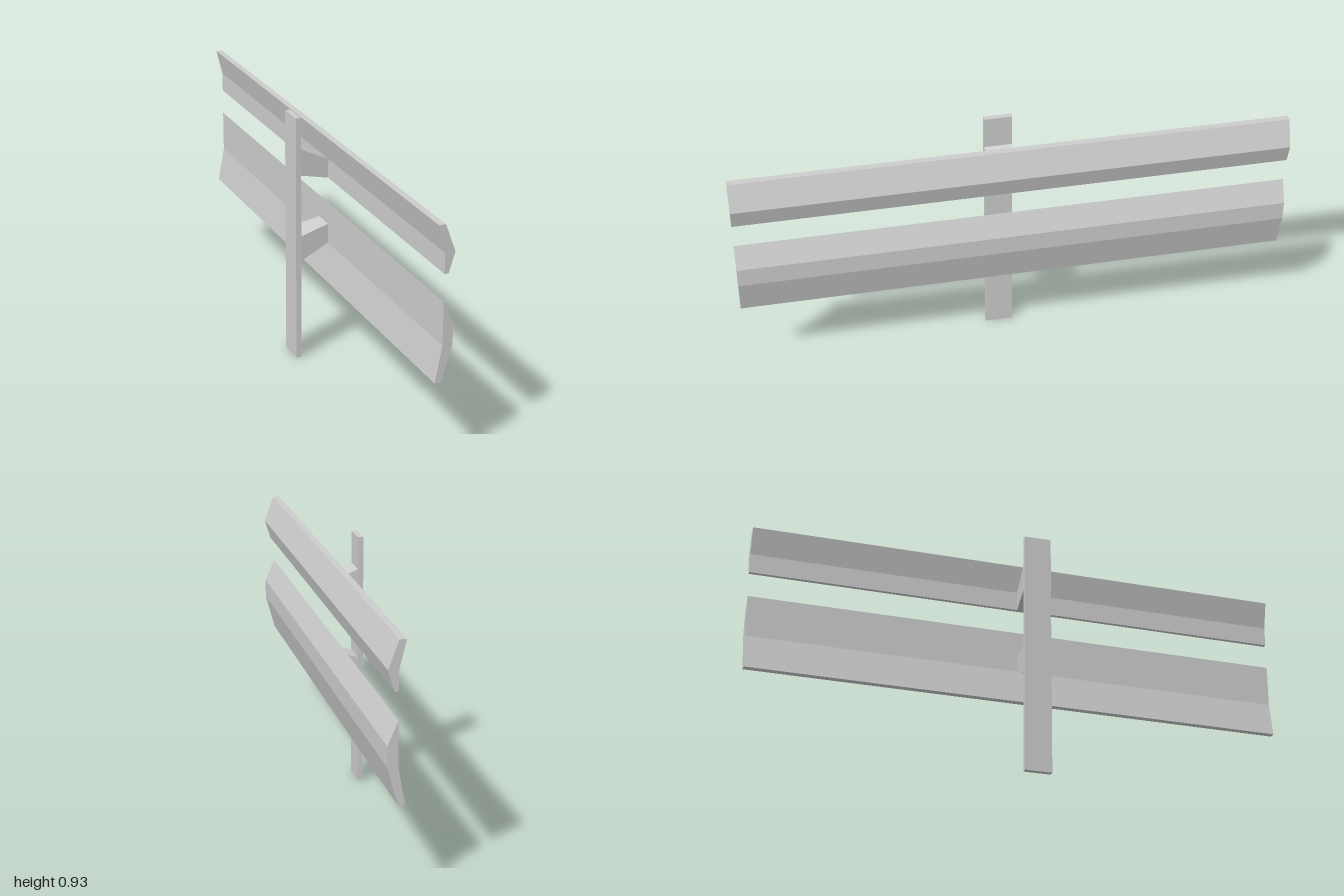
import * as THREE from 'three';

const LENGTH = 2;
const POST_Z = 0.038;
const POST_FACE = -0.062;
const RAIL_BACK = 0.046;

export function createModel() {
  const model = new THREE.Group();
  model.name = 'guardRail';
  const steel = new THREE.MeshStandardMaterial({ color: 0xcccccc });
  steel.name = 'grey steel';

  const add = (name, geometry) => {
    const mesh = new THREE.Mesh(geometry, steel);
    mesh.name = name;
    model.add(mesh);
    return mesh;
  };

  // Upright post
  add('post', new THREE.BoxGeometry(0.02, 0.925, 0.1)).position.set(-0.072, 0.4625, POST_Z);

  // Folded rails, extruded along z
  const rail = (name, points) => {
    const shape = new THREE.Shape(points.map(([x, y]) => new THREE.Vector2(x, y)));
    const geometry = new THREE.ExtrudeGeometry(shape, { depth: LENGTH, bevelEnabled: false });
    geometry.translate(0, 0, -LENGTH / 2);
    add(name, geometry);
  };
  rail('upperRail', [
    [0.022, 0.852], [RAIL_BACK, 0.755], [RAIL_BACK, 0.683],
    [0.06, 0.683], [0.082, 0.755], [0.046, 0.852],
  ]);
  rail('lowerRail', [
    [RAIL_BACK, 0.588], [RAIL_BACK, 0.433], [0.022, 0.303],
    [0.046, 0.303], [0.082, 0.435], [0.082, 0.505],
  ]);

  // Brackets: boxes tapered in height and width from the post to the rail
  const bracket = (name, postY, railY) => {
    const geometry = new THREE.BoxGeometry(1, 1, 1).toNonIndexed();
    const p = geometry.attributes.position;
    for (let i = 0; i < p.count; i++) {
      const atRail = p.getX(i) > 0;
      const [low, high] = atRail ? railY : postY;
      p.setXYZ(
        i,
        atRail ? RAIL_BACK : POST_FACE,
        p.getY(i) > 0 ? high : low,
        POST_Z + Math.sign(p.getZ(i)) * (atRail ? 0.04 : 0.05),
      );
    }
    geometry.computeVertexNormals();
    add(name, geometry);
  };
  bracket('upperBracket', [0.71, 0.808], [0.683, 0.755]);
  bracket('lowerBracket', [0.382, 0.478], [0.433, 0.506]);

  return model;
}
